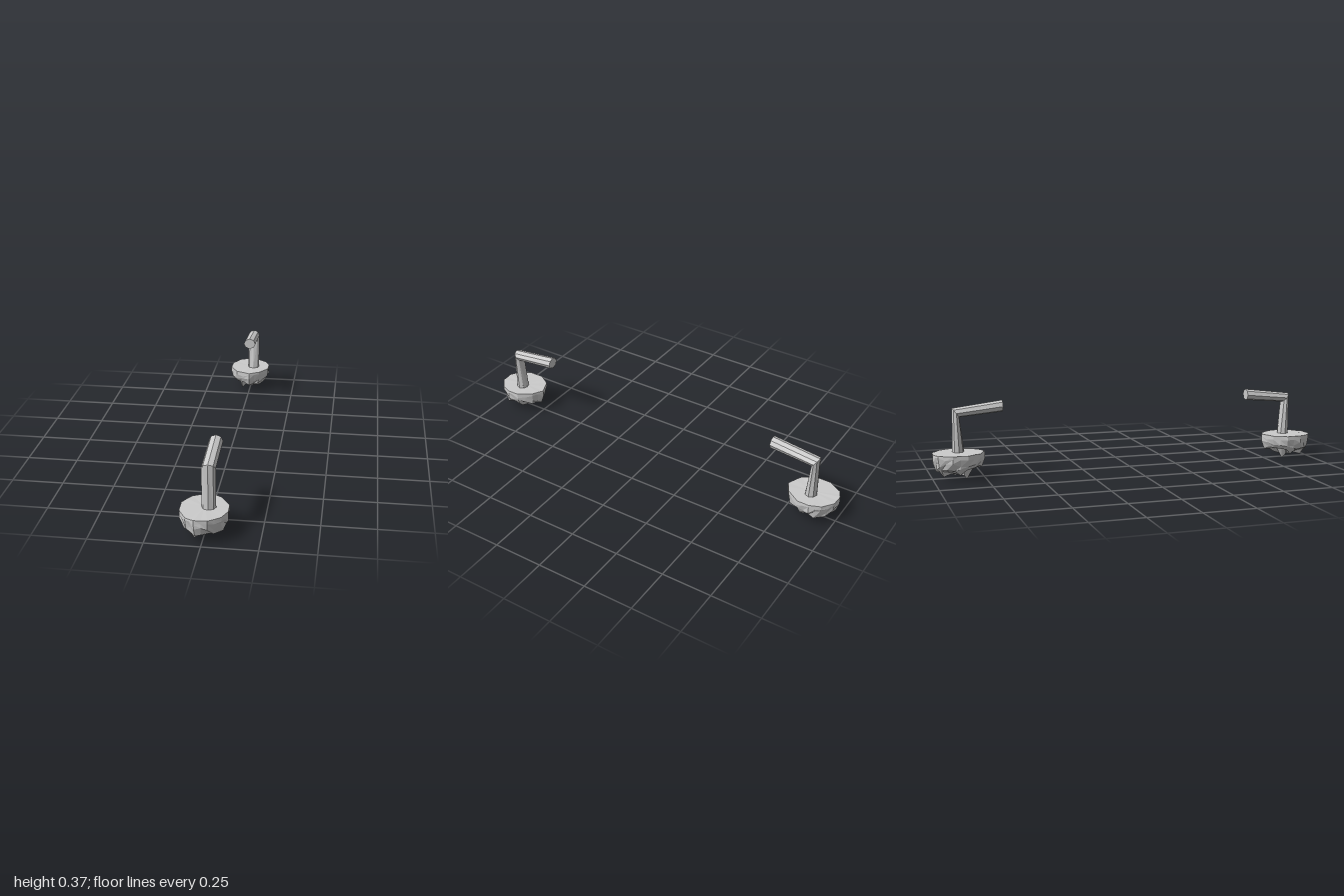
import * as THREE from 'three';

const material = new THREE.MeshStandardMaterial({ color: 0xcccccc, flatShading: true });

// Small seeded generator, returns values in -1..1
function makeNoise(seed) {
  let s = seed;
  return () => {
    s = (s * 16807) % 2147483647;
    return (s / 2147483647) * 2 - 1;
  };
}

// Skin a list of equal-length rings (Vector3 loops) and cap both ends
function loft(rings, firstCentre, lastCentre) {
  const pos = [];
  const tri = (...pts) => pts.forEach((p) => pos.push(p.x, p.y, p.z));
  const n = rings[0].length;
  const last = rings[rings.length - 1];
  for (let i = 0; i < n; i++) {
    const j = (i + 1) % n;
    tri(firstCentre, rings[0][j], rings[0][i]);
    for (let r = 0; r < rings.length - 1; r++) {
      const a = rings[r], b = rings[r + 1];
      tri(a[i], a[j], b[i]);
      tri(a[j], b[j], b[i]);
    }
    tri(lastCentre, last[i], last[j]);
  }
  const geometry = new THREE.BufferGeometry();
  geometry.setAttribute('position', new THREE.Float32BufferAttribute(pos, 3));
  geometry.computeVertexNormals();
  return geometry;
}

// Flat-topped rock with a ragged underside
function rockGeometry() {
  const outline = [
    [-0.03, 1.0], [-0.07, 0.98], [-0.108, 0.915], [-0.11, 0.84], [-0.07, 0.775], [0.005, 0.742],
    [0.06, 0.772], [0.106, 0.84], [0.108, 0.9], [0.085, 0.955], [0.03, 0.997],
  ];
  const points = [];
  outline.forEach(([x, z], i) => {
    const [x2, z2] = outline[(i + 1) % outline.length];
    points.push([x, z], [(x + x2) / 2, (z + z2) / 2]);
  });
  // height, scale, sideways jitter, vertical jitter
  const levels = [
    [0.125, 0.99, 0, 0.001], [0.108, 1, 0.02, 0.008], [0.08, 0.96, 0.05, 0.012],
    [0.053, 0.86, 0.08, 0.014], [0.04, 0.66, 0.1, 0.016], [0.033, 0.42, 0.1, 0.014], [0.028, 0.2, 0.05, 0.008],
  ];
  const noise = makeNoise(417);
  const cz = 0.87;
  const rings = levels.map(([y, scale, side, up]) => points.map(([x, z]) => {
    const k = Math.min(1, scale + side * noise());
    return new THREE.Vector3(x * k, Math.max(0.012, y + up * noise()), cz + (z - cz) * k);
  }));
  // Hanging points pulled from the nearest underside vertices
  const spikes = [[-0.035, 0, 0.85], [0.007, 0.01, 0.89], [-0.03, 0.014, 0.95], [0.04, 0.022, 0.83]];
  const underside = rings.slice(4).flat();
  spikes.forEach(([x, y, z]) => {
    const flatDistance = (p) => Math.hypot(p.x - x, p.z - z);
    underside.reduce((a, b) => (flatDistance(b) < flatDistance(a) ? b : a)).y = y;
  });
  return loft(rings, new THREE.Vector3(0, 0.125, cz), new THREE.Vector3(0, 0.03, cz));
}

// Octagonal post, mitred at the elbow into an inward arm
function pipeGeometry() {
  // centre y, centre z, then the half-depth direction (y, z) of each section
  const sections = [
    [0.341, 0.65, 0.029, 0],
    [0.317, 0.878, 0.023, 0.018],
    [0.115, 0.87, 0, 0.03],
  ];
  const rings = sections.map(([y, z, dy, dz]) => Array.from({ length: 8 }, (_, i) => {
    const a = (i * Math.PI) / 4;
    return new THREE.Vector3(0.018 + 0.032 * Math.cos(a), y + dy * Math.sin(a), z + dz * Math.sin(a));
  }));
  const centre = ([y, z]) => new THREE.Vector3(0.018, y, z);
  return loft(rings, centre(sections[0]), centre(sections[2]));
}

export function createModel() {
  const model = new THREE.Group();
  model.name = 'pairOfPostsOnRocks';
  const rock = rockGeometry();
  const pipe = pipeGeometry();
  // Two posts mirrored front to back
  for (const side of [1, -1]) {
    const post = new THREE.Group();
    post.name = side > 0 ? 'frontPost' : 'backPost';
    const base = new THREE.Mesh(rock, material);
    base.name = 'rockBase';
    const arm = new THREE.Mesh(pipe, material);
    arm.name = 'bentPipe';
    post.add(base, arm);
    post.scale.z = side;
    model.add(post);
  }
  return model;
}
